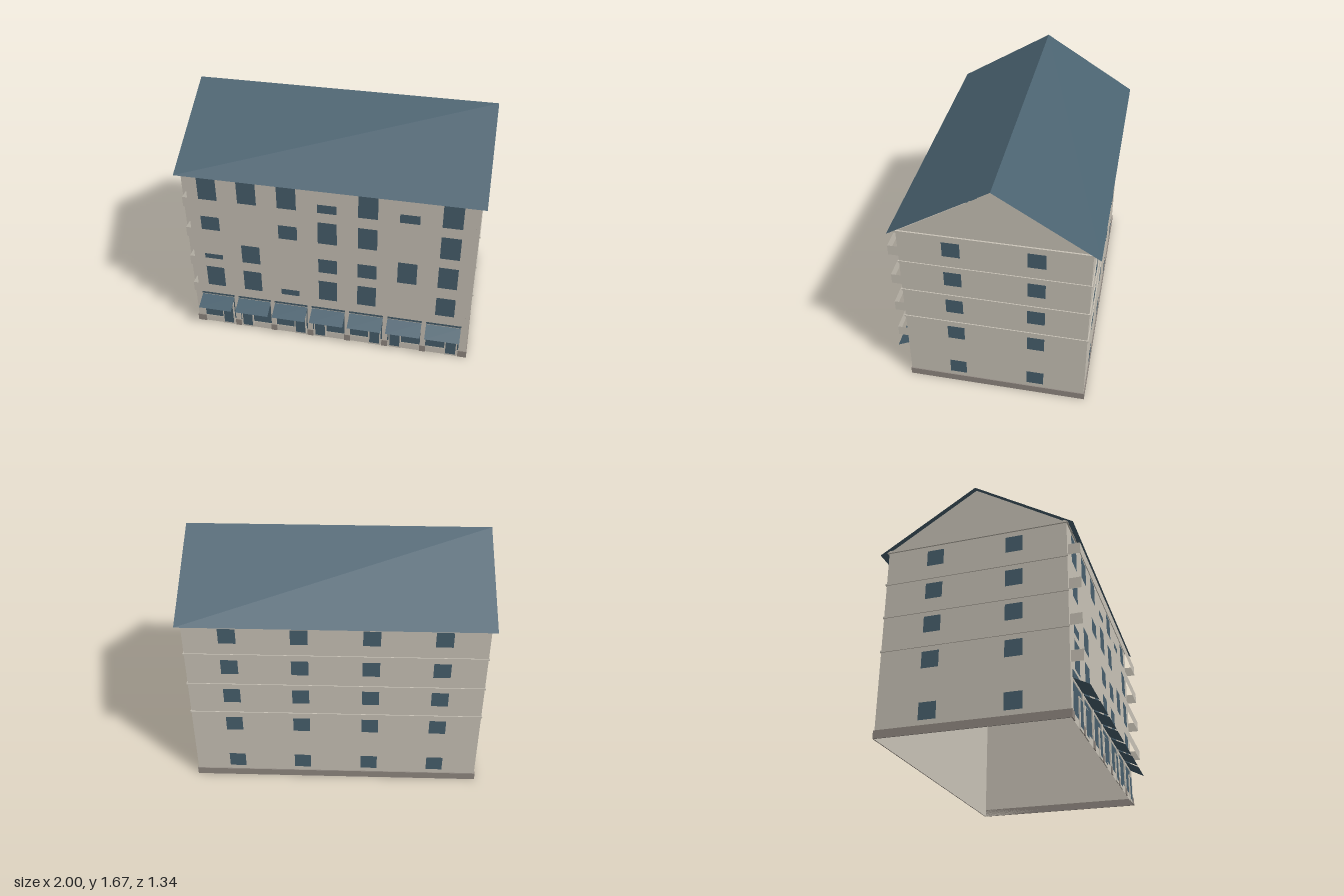
import * as THREE from 'three';

const plaster = new THREE.MeshStandardMaterial({ color: 0xcac4b8, side: THREE.DoubleSide });
plaster.name = 'plaster';
const slate = new THREE.MeshStandardMaterial({ color: 0x4a6270 });
slate.name = 'slateBlue';
const glass = new THREE.MeshStandardMaterial({ color: 0x48606e, side: THREE.DoubleSide });
glass.name = 'glassBlue';
const stone = new THREE.MeshStandardMaterial({ color: 0x918982 });
stone.name = 'plinthStone';

const W = 0.97, FRONT = 0.57, BACK = -0.62, WALL_TOP = 1.29;
const MID = (FRONT + BACK) / 2, DEPTH = FRONT - BACK;
const BAY = 0.2675;

export function createModel() {
  const model = new THREE.Group();
  model.name = 'apartmentBuilding';

  const add = (name, geometry, material, x = 0, y = 0, z = 0, ry = 0) => {
    const mesh = new THREE.Mesh(geometry, material);
    mesh.name = name;
    mesh.position.set(x, y, z);
    mesh.rotation.y = ry;
    model.add(mesh);
    return mesh;
  };
  // box given by its minimum and maximum corners
  const box = (name, mat, x0, x1, y0, y1, z0, z1) =>
    add(name, new THREE.BoxGeometry(x1 - x0, y1 - y0, z1 - z0), mat,
      (x0 + x1) / 2, (y0 + y1) / 2, (z0 + z1) / 2);
  // upright panel, facing +z before it is turned
  const panel = (name, mat, w, y0, y1, x, z, ry = 0) =>
    add(name, new THREE.PlaneGeometry(w, y1 - y0), mat, x, (y0 + y1) / 2, z, ry);
  // sloping sheet spanning x = ±w between two (z, y) edges
  const sheet = (name, mat, xc, w, a, b) => {
    const g = new THREE.BufferGeometry();
    g.setAttribute('position', new THREE.Float32BufferAttribute([
      -w, a[1], a[0], w, a[1], a[0], w, b[1], b[0], -w, b[1], b[0]], 3));
    g.setIndex([0, 1, 2, 0, 2, 3]);
    g.computeVertexNormals();
    return add(name, g, mat, xc);
  };
  const bays = [-3, -2, -1, 0, 1, 2, 3].map((i) => i * BAY);

  // front wall with shop openings
  const front = new THREE.Shape();
  front.moveTo(-W, 0).lineTo(W, 0).lineTo(W, WALL_TOP).lineTo(-W, WALL_TOP);
  for (const x of bays) {
    const hole = new THREE.Path();
    hole.moveTo(x - 0.115, 0.05).lineTo(x - 0.115, 0.25).lineTo(x + 0.115, 0.25).lineTo(x + 0.115, 0.05);
    front.holes.push(hole);
  }
  add('frontWall', new THREE.ShapeGeometry(front), plaster, 0, 0, FRONT);

  // back wall, side walls and gables
  panel('backWall', plaster, 2 * W, 0, WALL_TOP, 0, BACK, Math.PI);
  for (const s of [1, -1]) {
    panel('sideWall', plaster, DEPTH, 0, WALL_TOP, s * W, MID, s * Math.PI / 2);
    const gable = new THREE.Shape();
    gable.moveTo(-0.58, 0).lineTo(0.58, 0).lineTo(0, 0.36);
    add('gable', new THREE.ShapeGeometry(gable), plaster, s * W, WALL_TOP, MID, s * Math.PI / 2);
  }

  // roof: upper skin and lower skin, open at the ends
  const eave = 0.643;
  for (const [name, dy] of [['roofTop', 0.02], ['roofUnderside', 0]]) {
    const ridge = [MID, 1.652 + dy];
    const frontEave = [MID + eave, 1.255 + dy], backEave = [MID - eave, 1.255 + dy];
    if (dy) {
      sheet(name, slate, 0, 1, frontEave, ridge);
      sheet(name, slate, 0, 1, ridge, backEave);
    } else {
      sheet(name, slate, 0, 1, ridge, frontEave);
      sheet(name, slate, 0, 1, backEave, ridge);
    }
  }

  // bands around the side and back walls
  const band = (name, mat, y0, y1, t) => {
    box(name, mat, -W - t, W + t, y0, y1, BACK - t, BACK);
    for (const s of [1, -1]) {
      box(name, mat, s > 0 ? W : -W - t, s > 0 ? W + t : -W, y0, y1, BACK, FRONT + t);
    }
  };
  band('plinth', stone, 0, 0.052, 0.006);
  for (const y of [0.565, 0.802, 1.04]) band('floorBand', plaster, y - 0.006, y + 0.006, 0.006);
  band('cornice', plaster, 1.275, WALL_TOP, 0.01);
  box('cornice', plaster, -W - 0.01, W + 0.01, 1.275, WALL_TOP, FRONT, FRONT + 0.01);

  // side and back windows
  for (const y of [0.085, 0.415, 0.655, 0.89, 1.13]) {
    for (const s of [1, -1]) {
      for (const z of [0.235, -0.29]) {
        panel('sideWindow', glass, 0.112, y, y + 0.11, s * (W + 0.003), z, s * Math.PI / 2);
      }
    }
    for (const x of [-0.685, -0.23, 0.23, 0.685]) {
      panel('backWindow', glass, 0.112, y, y + 0.11, x, BACK - 0.003, Math.PI);
    }
  }

  // balcony floors: window bottom, parapet bottom, window tops by bay (blinds at various heights)
  const floors = [
    [0.335, 0.345, [0.53, 0.53, 0.4, 0.53, 0.53, 0, 0.505]],
    [0.57, 0.58, [0.63, 0.738, 0, 0.705, 0.705, 0.765, 0.765]],
    [0.82, 0.82, [0.945, 0, 0.945, 1.017, 1.0, 0, 1.017]],
    [1.06, 1.06, [1.255, 1.255, 1.255, 1.145, 1.255, 1.145, 1.255]],
  ];
  const railZ = 0.645, railW = 0.945;
  for (const [y0, rail, tops] of floors) {
    tops.forEach((top, i) => {
      if (top) panel('balconyWindow', glass, 0.128, y0, top, bays[i], FRONT + 0.003);
    });
    panel('balconyParapet', plaster, 2 * railW, rail, rail + 0.073, 0, railZ);
    for (const s of [1, -1]) {
      panel('balconyEnd', plaster, railZ - FRONT, rail, rail + 0.073,
        s * railW, (railZ + FRONT) / 2, s * Math.PI / 2);
    }
  }

  // shops: glass, door with frame, sign board and awning
  bays.forEach((x, i) => {
    panel('shopWindow', glass, 0.23, 0.05, 0.25, x, FRONT - 0.006);
    const dx = x + (i % 2 ? -0.062 : 0.062);
    box('doorFrame', plaster, dx - 0.044, dx + 0.044, 0, 0.2, FRONT - 0.003, FRONT + 0.004);
    panel('doorGlass', glass, 0.07, 0.015, 0.19, dx, FRONT + 0.007);
    box('signBoard', glass, x - 0.12, x + 0.12, 0.263, 0.31, FRONT, FRONT + 0.004);
    sheet('awning', glass, x, 0.118, [0.67, 0.207], [FRONT + 0.002, 0.257]);
  });

  // pillars between the shops, with stone feet
  for (let i = -3; i <= 4; i++) {
    const end = i === -3 ? -1 : i === 4 ? 1 : 0;
    const x = end ? end * 0.945 : (i - 0.5) * BAY;
    const h = end ? 0.03 : 0.021;
    if (!end) box('pillar', plaster, x - 0.015, x + 0.015, 0.05, 0.32, FRONT, FRONT + 0.004);
    box('pillarFoot', stone, x - h, x + h, 0, 0.052, FRONT, FRONT + 0.006);
  }

  return model;
}
